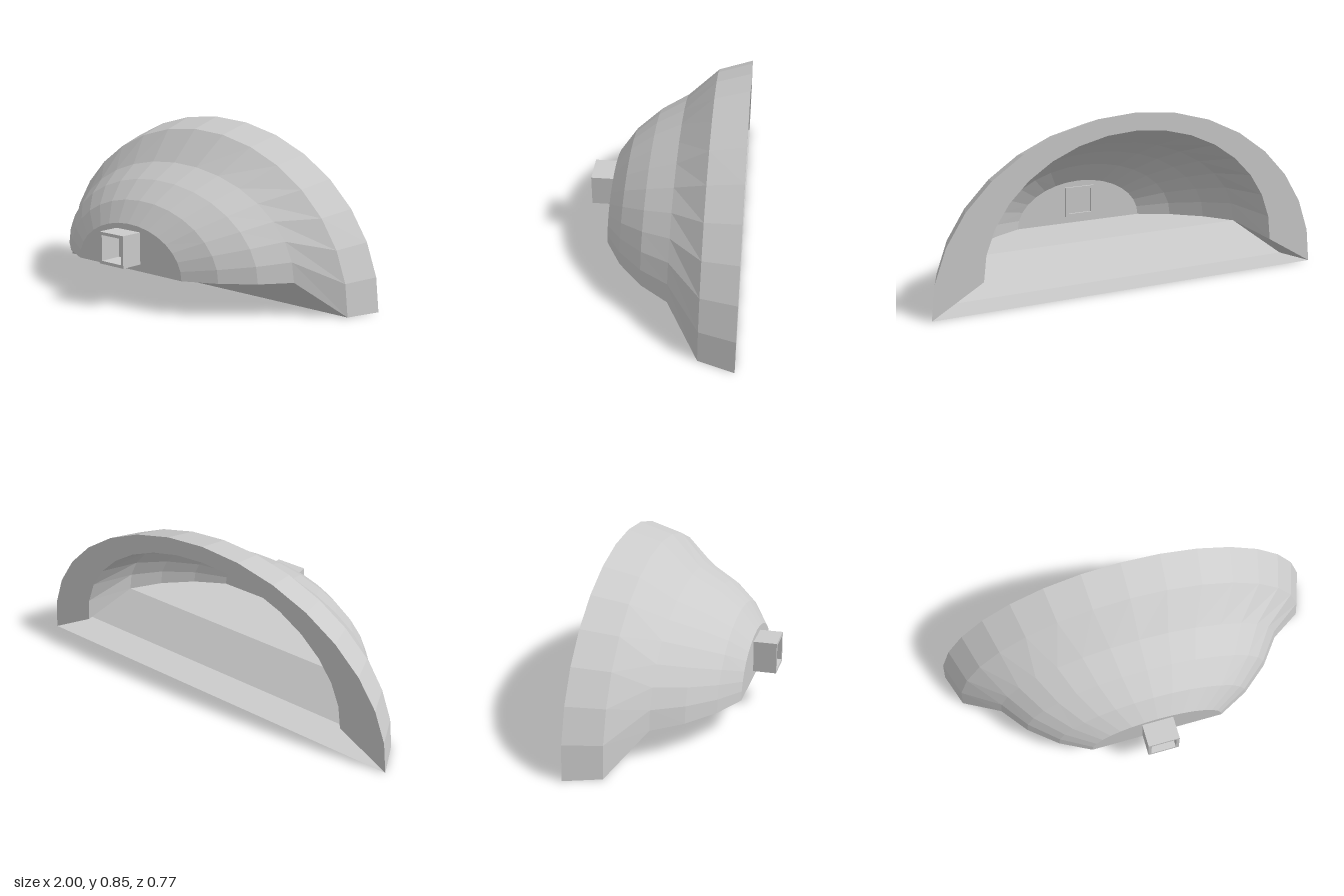
import * as THREE from 'three';

const SEGMENTS = 16;
const material = new THREE.MeshStandardMaterial({ color: 0xcccccc, flatShading: true, side: THREE.DoubleSide });

// Half-ellipse cross-section, running from the +x corner over the top to the -x corner
function arch({ z, w, top, base }) {
  return Array.from({ length: SEGMENTS + 1 }, (_, i) => {
    const a = (Math.PI * i) / SEGMENTS;
    return [w * Math.cos(a), base + (top - base) * Math.sin(a), z];
  });
}

// Joins neighbouring rows of points with quads
function loft(rows) {
  const pos = [];
  for (let r = 0; r < rows.length - 1; r++) {
    const a = rows[r], b = rows[r + 1];
    for (let i = 0; i < a.length - 1; i++) {
      pos.push(...a[i], ...b[i], ...b[i + 1], ...a[i], ...b[i + 1], ...a[i + 1]);
    }
  }
  const geo = new THREE.BufferGeometry();
  geo.setAttribute('position', new THREE.Float32BufferAttribute(pos, 3));
  geo.computeVertexNormals();
  return geo;
}

export function createModel() {
  const group = new THREE.Group();
  const add = (name, geo) => {
    const mesh = new THREE.Mesh(geo, material);
    mesh.name = name;
    group.add(mesh);
    return mesh;
  };

  // Sections from the open back to the front wall
  const sections = [
    { z: -0.385, w: 1.0, top: 0.85, base: 0 },
    { z: -0.215, w: 0.94, top: 0.8, base: 0 },
    { z: -0.06, w: 0.745, top: 0.645, base: 0.16 },
    { z: 0.075, w: 0.64, top: 0.573, base: 0.16 },
    { z: 0.19, w: 0.5, top: 0.485, base: 0.16 },
    { z: 0.27, w: 0.345, top: 0.383, base: 0.16 },
  ];
  const rings = sections.map(arch);
  const last = SEGMENTS;

  // Curved outer shell
  add('shell', loft(rings));

  // Floor, stepping up behind the rim
  add('floor', loft(rings.map((r) => [r[last], r[0]])));

  // Flat rim around the opening and the lining that runs in to the shell
  const inner = arch({ z: -0.385, w: 0.756, top: 0.765, base: 0.145 });
  add('rim', loft([inner, rings[0]]));
  add('lining', loft([rings[2], inner]));

  // Underside of the rim at each end
  for (const [name, i] of [['rimEndLeft', 0], ['rimEndRight', last]]) {
    const edges = [[rings[0][i], rings[1][i]], [inner[i], rings[2][i]]];
    add(name, loft(i === 0 ? edges : edges.reverse()));
  }

  // Front wall
  const wall = new THREE.Shape(rings[5].map(([x, y]) => new THREE.Vector2(x, y)));
  add('frontWall', new THREE.ShapeGeometry(wall)).position.z = 0.27;

  // Hollow square socket on the front wall
  const rect = (x, y0, y1) => [[-x, y0], [x, y0], [x, y1], [-x, y1]].map((p) => new THREE.Vector2(...p));
  const socket = new THREE.Shape(rect(0.08, 0.195, 0.352));
  socket.holes.push(new THREE.Path(rect(0.064, 0.21, 0.337).reverse()));
  add('socket', new THREE.ExtrudeGeometry(socket, { depth: 0.125, bevelEnabled: false })).position.z = 0.26;

  return group;
}
